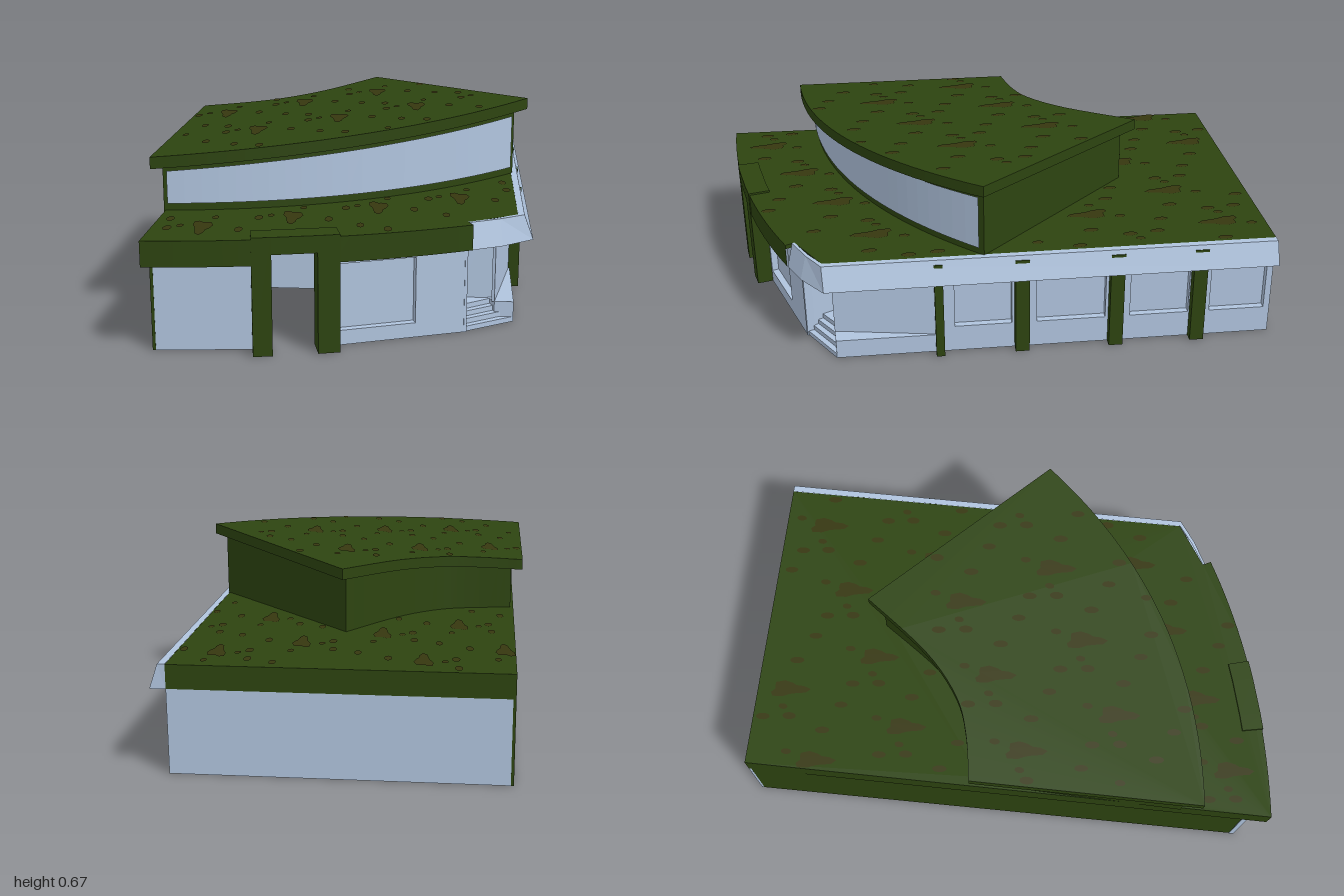
import * as THREE from 'three';
import { mergeGeometries } from 'three/addons/utils/BufferGeometryUtils.js';

export function createModel() {
  const model = new THREE.Group();
  model.name = 'building';
  const material = (name, color) =>
    new THREE.MeshStandardMaterial({ name, color, side: THREE.DoubleSide });
  const green = material('mossGreen', 0x2d4410);
  const brown = material('brownSpots', 0x36370f);
  const pale = material('paleBlue', 0xb0c4de);

  const add = (name, geometry, mat) => {
    const mesh = new THREE.Mesh(geometry, mat);
    mesh.name = name;
    model.add(mesh);
    return mesh;
  };
  const range = (a, b, n) => Array.from({ length: n + 1 }, (_, i) => a + ((b - a) * i) / n);
  const V = (pts) => pts.map(([x, z]) => new THREE.Vector2(x, -z));

  // Horizontal slab from a plan outline of [x, z] points
  function slab(pts, y0, y1, hole) {
    const shape = new THREE.Shape(V(pts));
    if (hole) shape.holes.push(new THREE.Path(V(hole)));
    const g = new THREE.ExtrudeGeometry(shape, { depth: y1 - y0, bevelEnabled: false });
    return g.rotateX(-Math.PI / 2).translate(0, y0, 0);
  }

  // Flat faceted skin between two rows of 3D points
  function skin(low, high) {
    const pos = [];
    for (let i = 0; i < low.length - 1; i++) {
      const [a, b, c, d] = [low[i], low[i + 1], high[i + 1], high[i]];
      pos.push(...a, ...b, ...c, ...a, ...c, ...d);
    }
    const g = new THREE.BufferGeometry();
    g.setAttribute('position', new THREE.Float32BufferAttribute(pos, 3));
    g.computeVertexNormals();
    return g;
  }
  const atY = (pts, y) =>
    pts.map(([x, z]) => [x, typeof y === 'function' ? y(x, z) : y, z]);
  const curtain = (pts, y0, y1) => skin(atY(pts, y0), atY(pts, y1));

  // Straight wall from p to q, outer face on the line; holes are [s0, s1, y0, y1]
  function wall(name, p, q, y0, y1, thick, mat, holes = [], inset = 0) {
    const dx = q[0] - p[0], dz = q[1] - p[1], len = Math.hypot(dx, dz);
    const rect = (C, a, b, c, d) => new C([[a, c], [b, c], [b, d], [a, d]]
      .map(([u, v]) => new THREE.Vector2(u, v)));
    const shape = rect(THREE.Shape, 0, len, y0, y1);
    holes.forEach((h) => shape.holes.push(rect(THREE.Path, ...h)));
    const g = new THREE.ExtrudeGeometry(shape, { depth: thick, bevelEnabled: false });
    g.translate(0, 0, -thick - inset).rotateY(Math.atan2(-dz, dx)).translate(p[0], 0, p[1]);
    return add(name, g, mat);
  }

  // Plan curves and key corners
  const eaveZ = (x) => 1.0 - 0.197 * (x - 0.08) ** 2;
  const frontZ = (x) => 0.95 - 0.215 * (x - 0.08) ** 2;
  const upperRoofZ = (x) => 0.645 - 0.3 * (x + 0.22) ** 2;
  const upperWallZ = (x) => 0.595 - 0.3 * (x + 0.2) ** 2;
  const along = (fn, a, b, n) => range(a, b, n).map((x) => [x, fn(x)]);
  const backLeft = [-0.09, -1], backRight = [0.94, -0.47], frontRight = [0.23, 0.925];
  const BAND = 0.3, TOP = 0.385;

  // Upper storey plan: concave curved back
  const backCurve = new THREE.SplineCurve([[0.27, -0.355], [0, -0.225], [-0.2, -0.18],
    [-0.35, -0.198], [-0.51, -0.25]].map((p) => new THREE.Vector2(...p)))
    .getPoints(20).map((p) => [p.x, p.y]);
  const upperRoof = [...along(upperRoofZ, -0.9, 0.515, 24), ...backCurve];
  const wallBack = backCurve.map(([x, z]) => [x * 0.96 - 0.018 + 0.022 * (x < 0 ? -x / 0.5 : 0), z + 0.045]);
  const upperWall = [...along(upperWallZ, -0.85, 0.475, 24), ...wallBack];
  const roofY = (x, z) => 0.67 + 0.0643 * (x - 0.515) + 0.0294 * (z - 0.475);

  // Main roof, open beneath the upper storey
  const mainRoof = [backLeft, backRight, [0.22, 0.95], [0.03, 0.965],
    ...along(eaveZ, 0.03, -1, 24)];
  const well = upperWall.map(([x, z]) => [-0.2 + (x + 0.2) * 0.93, 0.15 + (z - 0.15) * 0.95]);
  add('mainRoof', slab(mainRoof, 0.37, TOP, well), green);

  // Green roof band on the back, left and curved front
  add('roofBandSides', curtain([backRight, backLeft, [-1, eaveZ(-1)]], BAND, TOP), green);
  add('roofBandFrontLeft', curtain(along(eaveZ, -1, -0.62, 8), BAND, TOP), green);
  add('roofBandFront', curtain(along(eaveZ, -0.48, 0.03, 10), BAND, TOP), green);

  // Pale sloping fascia along the right side and over the porch
  const inner = [[0.94, -0.47], [0.22, 0.95], [0.13, 0.962], [0.03, 0.965]];
  const rim = [[0.963, -0.458], [0.238, 0.962], [0.14, 0.974], [0.03, 0.974]];
  const drip = [[0.99, -0.448], [0.268, 0.973], [0.14, 0.998], [0.03, 0.998]];
  const fasciaRows = [atY(inner, TOP + 0.001), atY(rim, TOP + 0.001), atY(drip, BAND), atY(inner, BAND)];
  add('fascia', mergeGeometries([0, 1, 2].map((i) => skin(fasciaRows[i + 1], fasciaRows[i]))), pale);
  add('fasciaEnd', skin([fasciaRows[3][0], fasciaRows[2][0]], [fasciaRows[0][0], fasciaRows[1][0]]), pale);

  // Outer walls
  const frontLeft = [-0.96, frontZ(-0.96)];
  wall('backWall', backRight, backLeft, 0, BAND, 0.01, pale);
  wall('leftWall', backLeft, frontLeft, 0, BAND, 0.01, green);
  wall('frontLeftWall', frontLeft, [-0.66, frontZ(-0.66)], 0, 0.37, 0.02, pale);
  const frontEnd = [0.04, frontZ(0.04)], frontStart = [-0.42, frontZ(-0.42)];
  wall('frontWall', frontStart, frontEnd, 0, 0.37, 0.03, pale, [[0.03, 0.285, 0.05, 0.275]]);
  wall('frontWindow', frontStart, frontEnd, 0.03, 0.3, 0.005, pale, [], 0.025);

  // Right wall with four recessed windows
  const onRight = (z) => [0.94 - (z + 0.47) * 0.509, z];
  const sideStart = onRight(0.61);
  const windows = [[0.55, 0.37], [0.29, 0.07], [-0.01, -0.2], [-0.27, -0.45]];
  wall('rightWall', sideStart, backRight, 0, 0.37, 0.03, pale,
    windows.map(([a, b]) => [(0.61 - a) * 1.122, (0.61 - b) * 1.122, 0.1, 0.275]));
  windows.forEach(([a, b]) =>
    wall('sideWindow', onRight(a + 0.01), onRight(b - 0.01), 0.09, 0.285, 0.005, pale, [], 0.025));

  // Green columns along the right wall
  [[0.61, 0.03], [0.35, 0.05], [0.05, 0.05], [-0.215, 0.05]].forEach(([z, w]) => {
    const col = add('sideColumn', new THREE.BoxGeometry(0.04, 0.37, w), green);
    const [x] = onRight(z);
    col.position.set(x + 0.018, 0.185, z - 0.005);
    col.rotation.y = -0.473;
  });

  // Corner porch: plinth, glazed side, back wall and steps
  add('porchPlinth', slab([frontRight, [0.17, 0.9], [0.17, 0.78], [0.36, 0.61], sideStart], 0, 0.07), pale);
  wall('porchSide', [0.17, 0.9], [0.385, 0.61], 0.07, 0.37, 0.01, pale);
  wall('porchBack', [0.04, 0.8], [0.19, 0.86], 0, 0.37, 0.01, pale);
  wall('porchLeftSide', frontEnd, [0.04, 0.8], 0, 0.37, 0.01, pale);
  for (let i = 0; i < 4; i++) {
    const z = 0.945 - i * 0.02;
    add('step', slab([[0.04, z], [0.23 - i * 0.018, z - 0.02], [0.18, 0.86], [0.04, 0.8]],
      i * 0.0175, (i + 1) * 0.0175), pale);
  }

  // Entrance portal and the passage behind it
  const portal = (x) => [x, eaveZ(x) + 0.003];
  wall('portalColumn', portal(-0.68), portal(-0.62), 0, 0.392, 0.08, green);
  wall('portalColumn', portal(-0.48), portal(-0.41), 0, 0.392, 0.08, green);
  wall('portalHeader', portal(-0.62), portal(-0.48), 0.335, 0.392, 0.08, green);
  add('passage', curtain([[-0.67, 0.86], [-0.44, 0.3], [-0.195, 0.418], [-0.43, 0.9]], 0, 0.37), pale);

  // Upper storey: walls, long curved window and sloping roof
  const under = (x, z) => roofY(x, z) - 0.04;
  add('upperWalls', curtain([...upperWall, upperWall[0]], 0.375, under), green);
  const glass = along((x) => upperWallZ(x) + 0.006, -0.84, 0.46, 24);
  add('upperWindow', curtain(glass, 0.41, (x, z) => under(x, z) - 0.022), pale);
  const tilt = (g) => {
    const p = g.attributes.position;
    for (let i = 0; i < p.count; i++) p.setY(i, p.getY(i) + roofY(p.getX(i), p.getZ(i)));
    g.computeVertexNormals();
    return g;
  };
  add('upperRoof', tilt(slab(upperRoof, -0.04, 0)), green);

  // Brown spots repeated over both roofs
  const inside = (pts, x, z) => pts.reduce((hit, [ax, az], i) => {
    const [bx, bz] = pts[(i + 1) % pts.length];
    return (az > z) !== (bz > z) && x < ((bx - ax) * (z - az)) / (bz - az) + ax ? !hit : hit;
  }, false);
  const pattern = [[0, 0, 0.03, 0.065], [0.1, 0.07, 0.014, 0.026], [0.17, 0.17, 0.013, 0.024],
    [0.2, -0.03, 0.015, 0.024], [-0.07, 0.24, 0.014, 0.025], [0.07, 0.28, 0.012, 0.018], [-0.06, -0.04, 0.012, 0.016]];
  const spots = (outline, y, covered) => {
    const found = [];
    for (let cx = -1.09; cx < 1; cx += 0.305) for (let cz = -1.12; cz < 1; cz += 0.365)
      for (const [dx, dz, rx, rz] of pattern) {
        const blob = range(0, Math.PI * 2, 14).slice(0, -1).map((t) => {
          const r = rx > 0.02 ? 1 + 0.3 * Math.sin(3 * t + 1) : 1;
          return [cx + dx + rx * r * Math.cos(t) + 0.3 * rz * r * Math.sin(t), cz + dz - rz * r * Math.sin(t)];
        });
        if (!blob.every(([x, z]) => inside(outline, x, z))) continue;
        if (covered && blob.some(([x, z]) => inside(covered, x, z))) continue;
        found.push(new THREE.ShapeGeometry(new THREE.Shape(V(blob))).rotateX(-Math.PI / 2).translate(0, y, 0));
      }
    return mergeGeometries(found);
  };
  add('mainRoofSpots', spots(mainRoof, TOP + 0.003, upperWall), brown);
  add('upperRoofSpots', tilt(spots(upperRoof, 0.003)), brown);

  return model;
}
